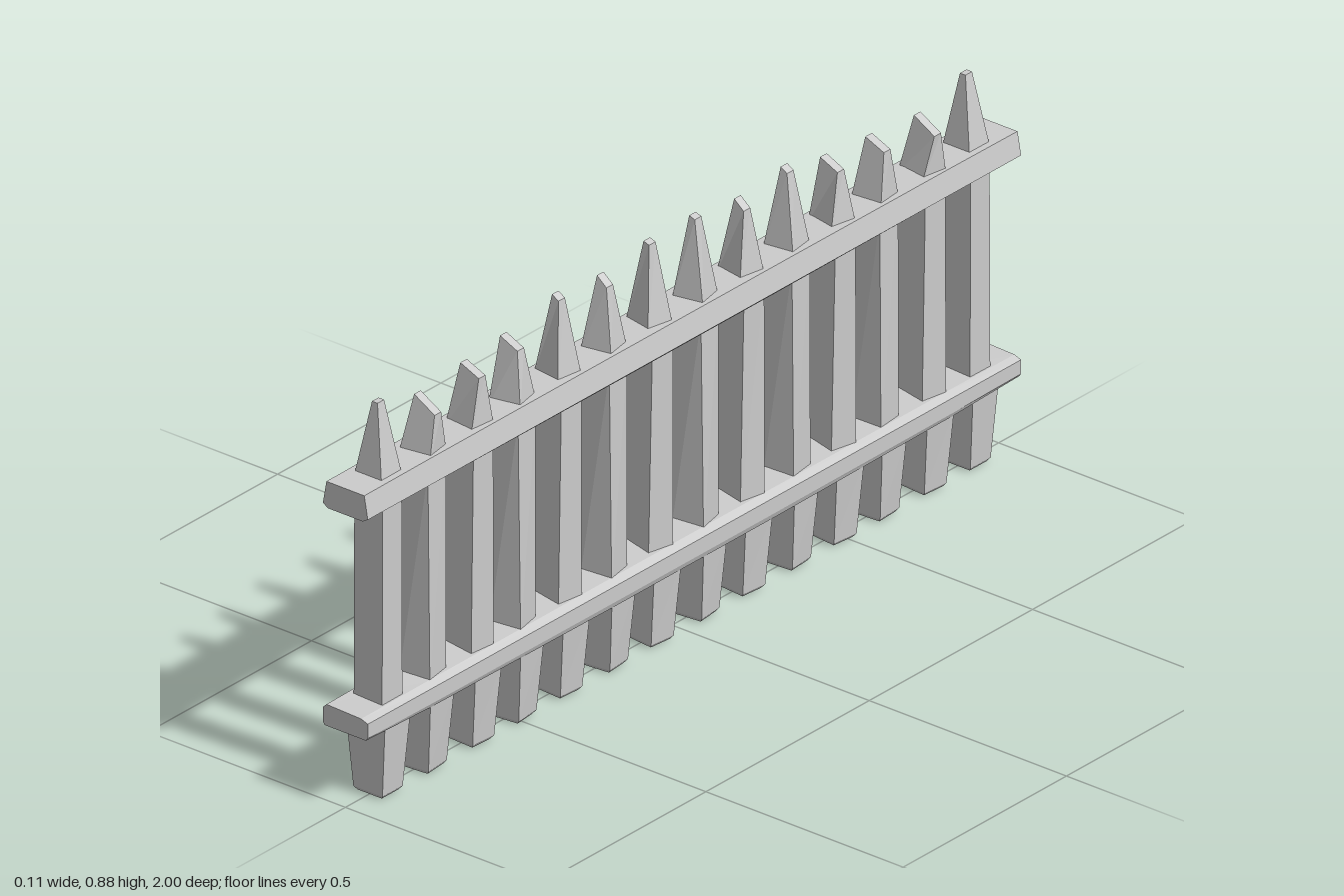
import * as THREE from 'three';

const material = new THREE.MeshStandardMaterial({ color: 0xcccccc, flatShading: true });

// Skin a list of rings; each runs counter-clockwise seen from the last ring's side.
function loft(rings, name) {
  const pos = [];
  const tri = (a, b, c) => pos.push(...a, ...b, ...c);
  const n = rings[0].length;
  for (let r = 0; r < rings.length - 1; r++) {
    for (let i = 0; i < n; i++) {
      const j = (i + 1) % n, lo = rings[r], hi = rings[r + 1];
      tri(lo[i], lo[j], hi[j]);
      tri(lo[i], hi[j], hi[i]);
    }
  }
  const first = rings[0], last = rings[rings.length - 1];
  for (let i = 1; i < n - 1; i++) {
    tri(first[0], first[i + 1], first[i]);
    tri(last[0], last[i], last[i + 1]);
  }
  const geometry = new THREE.BufferGeometry();
  geometry.setAttribute('position', new THREE.Float32BufferAttribute(pos, 3));
  geometry.computeVertexNormals();
  const mesh = new THREE.Mesh(geometry, material);
  mesh.name = name;
  return mesh;
}

// Four-cornered horizontal ring, turned by an angle about the vertical.
function ring(y, hx, hz, cz, turn = 0) {
  const c = Math.cos(turn), s = Math.sin(turn);
  return [[1, 1], [1, -1], [-1, -1], [-1, 1]].map(([a, b]) => [
    a * hx * c + b * hz * s, y, cz - a * hx * s + b * hz * c,
  ]);
}

// Half of the row: [z, height, turn, tip x from, tip x to, drop of the tip]
const pickets = [
  [0.90, 0.86, 0.00, -0.007, 0.007, 0.00],
  [0.765, 0.82, 0.16, -0.012, 0.040, 0.03],
  [0.62, 0.83, -0.10, -0.015, 0.032, 0.02],
  [0.49, 0.835, 0.20, -0.022, 0.022, 0.02],
  [0.35, 0.875, -0.14, -0.006, 0.010, 0.01],
  [0.21, 0.86, 0.18, -0.008, 0.016, 0.02],
  [0.07, 0.88, -0.20, -0.006, 0.008, 0.005],
];

function makePicket([z, height, turn, x0, x1, drop], side) {
  const group = new THREE.Group();
  group.name = 'picket';
  const cz = z * side, t = turn * side;
  // Tapered foot under the lower rail
  group.add(loft([
    ring(0.004, 0.031, 0.026, cz, t * 0.5),
    ring(0.012, 0.037, 0.031, cz, t * 0.5),
    ring(0.175, 0.050, 0.039, cz, t * 0.3),
  ], 'foot'));
  // Slightly twisted shaft between the rails
  group.add(loft([
    ring(0.19, 0.036, 0.031, cz, t),
    ring(0.67, 0.036, 0.029, cz, t * 0.3),
  ], 'shaft'));
  // Spike with a slanted, chipped tip
  const base = ring(0.69, 0.036, 0.032, cz, t);
  const tz = 0.010;
  const tip = [
    [x1, height - drop, cz + tz], [x1, height - drop, cz - tz],
    [x0, height, cz - tz], [x0, height, cz + tz],
  ];
  group.add(loft([base, tip], 'spike'));
  return group;
}

// Chamfered rail, a little thicker along its middle than at its ends.
// Profile points are [x, y, how far the middle bulges in y].
function makeRail(profile, name) {
  const stations = [[-1, 0], [-0.8, 0.6], [-0.25, 1], [0.25, 1], [0.8, 0.6], [1, 0]];
  return loft(stations.map(([z, k]) => profile.map(([x, y, b]) => [x, y + b * k, z])), name);
}

export function createModel() {
  const model = new THREE.Group();
  model.name = 'picketFence';
  for (const side of [1, -1]) {
    for (const data of pickets) model.add(makePicket(data, side));
  }
  model.add(makeRail([
    [-0.044, 0.648, -0.004], [0.044, 0.648, -0.004], [0.057, 0.656, 0],
    [0.048, 0.706, 0.002], [-0.048, 0.706, 0.002], [-0.057, 0.656, 0],
  ], 'upperRail'));
  model.add(makeRail([
    [-0.052, 0.168, -0.01], [0.052, 0.168, -0.01], [0.057, 0.175, -0.004],
    [0.057, 0.206, 0], [0.04, 0.212, 0.003], [-0.048, 0.215, 0.005], [-0.057, 0.206, 0],
    [-0.057, 0.175, -0.004],
  ], 'lowerRail'));
  return model;
}
